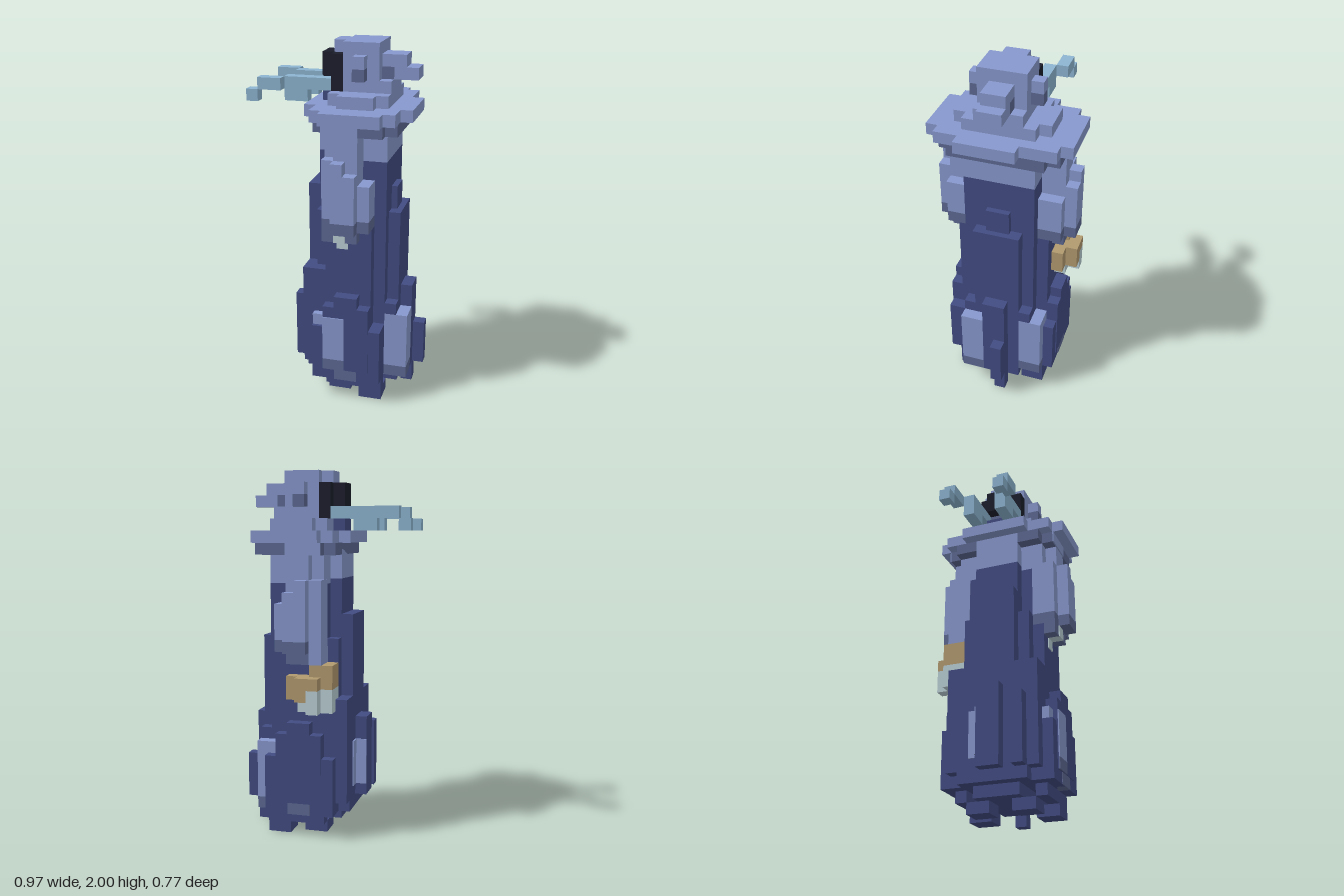
import * as THREE from 'three';

const U = 2 / 31; // size of one block

const paint = (name, color) => {
  const m = new THREE.MeshStandardMaterial({ color });
  m.name = name;
  return m;
};

export function createModel() {
  const root = new THREE.Group();
  root.name = 'blockFigure';
  const light = paint('periwinkle', 0x8898cd);
  const navy = paint('navy', 0x424c82);
  const slate = paint('slate', 0x5d6992);
  const teal = paint('teal', 0x8db5d2);
  const black = paint('black', 0x1c1e2c);
  const tan = paint('tan', 0xb29a6f);
  const pale = paint('paleGrey', 0xbacfd6);

  // Box given by its limits in blocks: x 0..15, y 0..31, z 0..12
  const box = (name, mat, x0, x1, y0, y1, z0, z1) => {
    const mesh = new THREE.Mesh(
      new THREE.BoxGeometry((x1 - x0) * U, (y1 - y0) * U, (z1 - z0) * U), mat);
    mesh.position.set(((x0 + x1) / 2 - 7.5) * U, (y0 + y1) / 2 * U, ((z0 + z1) / 2 - 6) * U);
    mesh.name = name;
    root.add(mesh);
  };
  // The same box on both sides of the figure
  const pair = (name, mat, x0, x1, y0, y1, z0, z1) => {
    box(name, mat, x0, x1, y0, y1, z0, z1);
    box(name, mat, x0, x1, y0, y1, 12 - z1, 12 - z0);
  };

  // Robe: core, stepped ridges and the flared skirt
  box('robeCore', navy, 7, 12, 2, 21.6, 3, 9);
  box('robeCoreFront', navy, 6, 7, 2, 22, 4, 8);
  box('robeCoreLower', navy, 6, 7, 2, 17, 3, 9);
  box('robeSides', navy, 7, 11, 2, 16, 2, 10);
  box('robeBackRidge', navy, 12, 13, 2, 17, 4, 8);
  box('robeBackRidge', navy, 12, 12.5, 17, 19, 5, 7);
  box('robeFrontRidge', navy, 5, 6, 2, 19, 4, 8);
  box('robeFront', navy, 5, 6, 2, 12, 3, 9);
  pair('robeCorner', navy, 5, 7, 3, 12, 9, 10);
  box('skirtFront', navy, 4, 5, 3, 10, 5, 7);
  box('skirtFrontFold', navy, 4, 5, 3, 9, 8, 9);
  box('skirtBack', navy, 13, 14, 2, 10, 5, 7);
  pair('skirtBackFold', navy, 12, 13, 8, 9, 7, 9);
  pair('skirtSide', navy, 8, 10, 3, 10, 10, 11);
  pair('skirtSide', navy, 7, 11, 3, 9, 10, 11);
  pair('skirtSide', navy, 6, 12, 2, 7, 9, 10.9);
  box('tail', navy, 14, 15, 2, 6, 5, 6);
  box('hem', navy, 6, 13, 1, 2, 4, 8);
  pair('hemSide', navy, 7, 12, 1, 2, 9, 10);
  pair('hemShade', slate, 8, 10, 2, 3, 10, 10.95);

  // Feet
  box('backFoot', navy, 13, 14, 0, 2, 5, 6);
  pair('rearFoot', navy, 10, 12, 0, 1, 8, 10);
  pair('frontFoot', navy, 7, 9, 0, 1, 7, 9);

  // Light panels on the skirt
  box('backPanelLeft', light, 12, 14, 3, 8, 7, 9);
  box('backPanelLeftHem', slate, 12, 14, 2, 3, 7, 9);
  box('backPanelRight', light, 11, 13, 3, 8, 2, 4);
  box('backPanelRightHem', slate, 11, 13, 2, 3, 2, 4);
  box('sidePanel', light, 7, 8.9, 4, 8, 11, 11.1);
  box('sidePanelEdge', light, 6, 7, 7, 8, 10, 10.6);
  box('sidePanelHem', slate, 7, 8.9, 3, 4, 11, 11.1);
  box('frontPanel', light, 4.9, 5, 4, 8, 4, 5);
  box('frontPanelReturn', light, 4, 5, 4, 8, 4.9, 5);

  // Neck, shoulders and sleeves
  box('neck', light, 7, 12, 21.6, 25, 3, 9);
  box('neckFront', light, 6, 7, 22, 25, 4, 8);
  pair('shoulder', light, 8, 10, 20, 24, 9, 11);
  pair('shoulderFront', light, 7, 8, 20, 24, 9, 10);
  pair('sleeve', light, 7, 10, 17, 22, 9, 11);
  pair('sleeveBack', light, 10, 11, 17, 20, 9, 11);
  pair('sleeveOuter', light, 8, 9, 17, 22, 11, 12);
  pair('sleeveOuter', light, 9, 10, 17, 21, 11, 12);
  pair('cuff', slate, 8, 10, 16, 17, 10, 12);
  pair('cuffInner', slate, 7, 11, 16, 17, 9, 11);
  pair('cuffLower', slate, 8, 10, 15, 16, 10, 11);
  box('rightForearm', light, 6.95, 8, 15, 22, 0.95, 3);

  // Left hand, and right hand with a held object
  box('hand', pale, 8, 9, 15, 16.05, 10, 11.1);
  box('fingers', pale, 8, 9, 14.1, 15, 10, 10.1);
  box('leftWrist', slate, 7, 8, 15, 16, 10, 11);
  box('heldTop', tan, 6, 8, 14, 15, 1, 3);
  box('heldBack', tan, 8, 9, 12, 14, 0, 1);
  box('heldBackInner', tan, 8, 10, 12, 14, 1, 2);
  box('heldFront', tan, 7, 8, 13, 14, 0, 1);
  box('heldFrontInner', tan, 6, 8, 13, 14, 1, 3);
  box('heldGlass', pale, 7, 8, 11, 13, 0, 1);
  box('heldGlassInner', pale, 6, 8, 11, 13, 1, 2);
  box('heldGlassEdge', pale, 6, 7, 12, 13, 2, 3);
  box('heldGlassBase', pale, 8, 9, 11, 12, 1, 2);

  // Collar below the brim, then the wide stepped brim
  box('collar', slate, 6, 13, 24, 25, 2, 10);
  box('collar', slate, 7, 12, 24, 25, 1, 11);
  pair('collarFront', light, 7, 10, 24, 25, 11, 11.1);
  box('brim', light, 7, 12, 25, 26, 0, 12);
  box('brim', light, 6, 13, 25, 26, 1, 11);
  box('brimFront', light, 5, 6, 25, 26, 3, 9);
  box('brimBack', light, 13, 14, 25, 26, 4, 9);
  box('brimTier', light, 8, 11, 26, 27, 2, 10);
  box('brimTier', light, 7, 12, 26, 27, 3, 9);

  // Head with ears and a knot at the back
  box('head', light, 8, 11, 27, 30, 4, 8);
  box('headBack', light, 11, 12, 27, 28, 4, 8);
  box('crown', light, 8, 11, 30, 31, 4, 8);
  box('crownFront', light, 7, 8, 30, 31, 5, 7);
  box('jaw', slate, 7, 8, 27, 28, 5, 7);
  box('chin', navy, 6, 7, 26, 27, 5, 7);
  pair('ear', light, 9, 10, 29, 30, 8, 9);
  pair('earLower', slate, 9, 10, 28, 29, 8, 9);
  box('knot', light, 11, 13, 29, 30, 5, 7);
  box('knotEnd', light, 12, 14, 28, 29, 5, 7);
  box('knotShade', slate, 11, 12, 28, 29, 5, 7);

  // Dark face and its feelers
  box('face', black, 6, 7, 28, 30, 5, 7);
  box('faceInner', black, 7, 8, 28, 30, 5, 7);
  pair('cheek', black, 7, 8, 27, 30, 7, 8);
  pair('feelerBase', teal, 3, 7, 27, 28, 7, 8);
  pair('feelerUnder', teal, 3, 5, 26, 27, 7, 8);
  pair('feelerMiddle', teal, 1, 3, 27, 28, 8, 9);
  pair('feelerTip', teal, 0, 1, 26, 27, 8, 9);

  return root;
}
